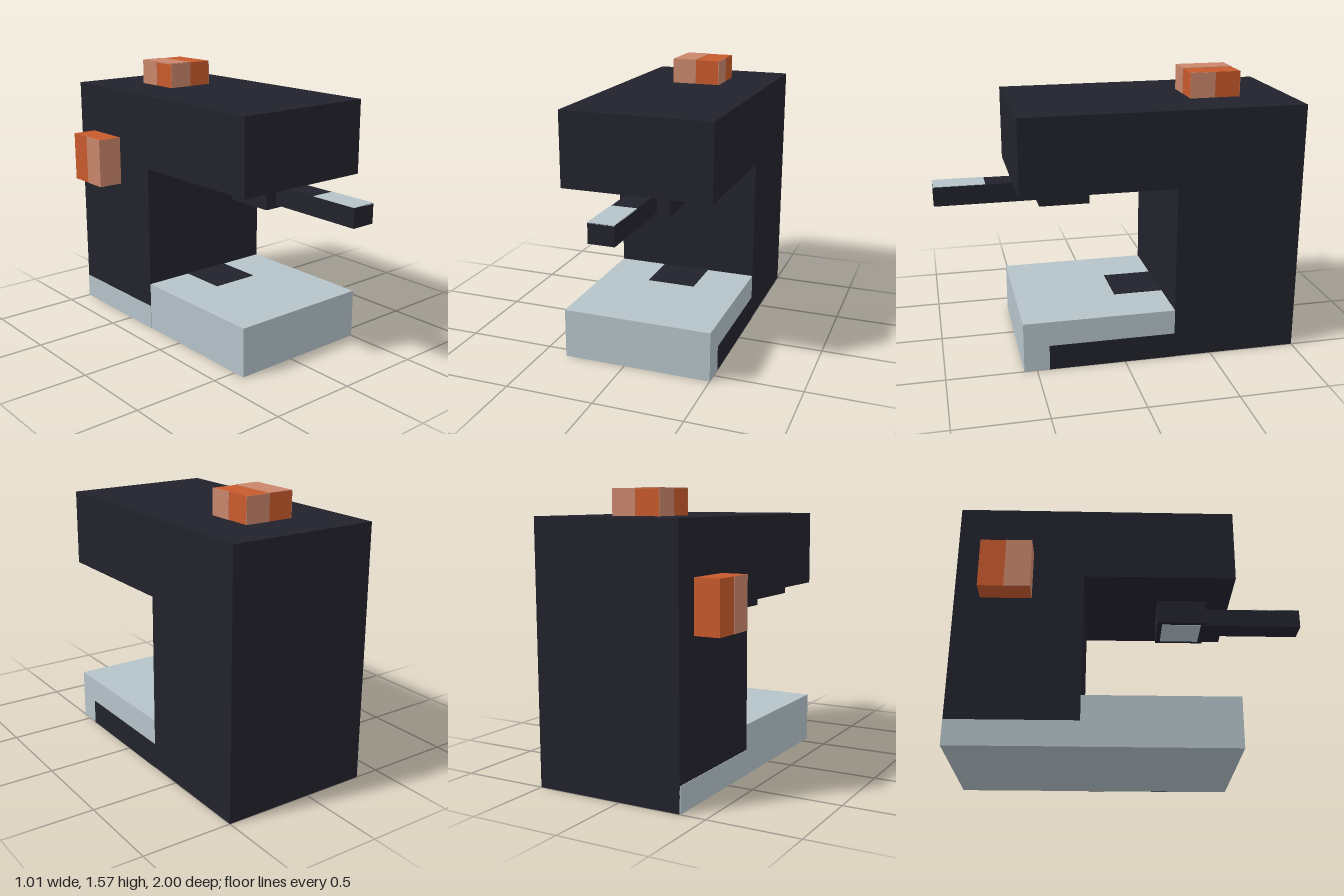
import * as THREE from 'three';

const U = 1 / 7; // one block of the design grid

function mat(name, color) {
  const m = new THREE.MeshStandardMaterial({ color });
  m.name = name;
  return m;
}

export function createModel() {
  const dark = mat('charcoal', 0x22222c);
  const light = mat('pale steel', 0xb5c3c9);
  const orange = mat('orange', 0xc85a2c);
  const peach = mat('peach', 0xc9866b);

  const model = new THREE.Group();
  model.name = 'coffeeMachine';

  // Box from grid ranges [min, max]; material may be one per face (+x -x +y -y +z -z)
  function box(name, material, x, y, z, parent = model) {
    const size = [x, y, z].map(([a, b]) => (b - a) * U);
    const mid = [x, y, z].map(([a, b]) => ((a + b) / 2) * U);
    const mesh = new THREE.Mesh(new THREE.BoxGeometry(...size), material);
    mesh.position.set(...mid);
    mesh.name = name;
    parent.add(mesh);
    return mesh;
  }
  // Thin range around a face, for painted plates
  const on = (v) => [v - 0.02, v + 0.02];
  const lightBelow = [dark, dark, dark, light, dark, dark];

  // Housing
  const W = [-2.5, 3.5];
  box('column', lightBelow, W, [0, 7], [-7, -2]);
  box('topArm', dark, W, [7, 10], [-7, 4]);
  box('columnFootStripe', light, on(-2.5), [0, 1], [-7, -2]);

  // Base tray with its painted panels
  box('base', light, W, [0, 2], [-2, 4]);
  box('baseSidePanel', dark, on(3.5), [0, 1], [-2, 3]);
  box('dripPlate', dark, [-0.5, 1.5], on(2), [-2, 0]);

  // Brew head and handle
  box('brewHead', dark, [-0.5, 1.5], [6, 7], [1, 3]);
  box('brewHeadFilter', light, [-0.3, 1.3], on(6), [1.2, 2.8]);
  box('handle', dark, [0, 1], [6.12, 6.88], [3, 7]);
  box('handleGripTop', light, [0, 1], on(6.88), [5, 7]);

  // Top knob: half of each face is peach, turning around the block
  const knob = new THREE.Group();
  knob.name = 'topKnob';
  model.add(knob);
  const H = [10, 11];
  box('knobBlock', orange, [-0.5, 1.5], H, [-5, -3], knob);
  box('knobTopHalf', peach, [-0.5, 0.5], on(11), [-5, -3], knob);
  box('knobFrontHalf', peach, [-0.5, 0.5], H, on(-3), knob);
  box('knobLeftHalf', peach, on(1.5), H, [-4, -3], knob);
  box('knobBackHalf', peach, [0.5, 1.5], H, on(-5), knob);
  box('knobRightHalf', peach, on(-0.5), H, [-5, -4], knob);

  // Side knob
  const side = new THREE.Group();
  side.name = 'sideKnob';
  model.add(side);
  box('sideKnobBlock', [orange, orange, orange, orange, peach, orange],
    [-3.5, -2.5], [6, 8], [-6, -4], side);
  box('sideKnobOuterHalf', peach, on(-3.5), [6, 8], [-5, -4], side);

  return model;
}
